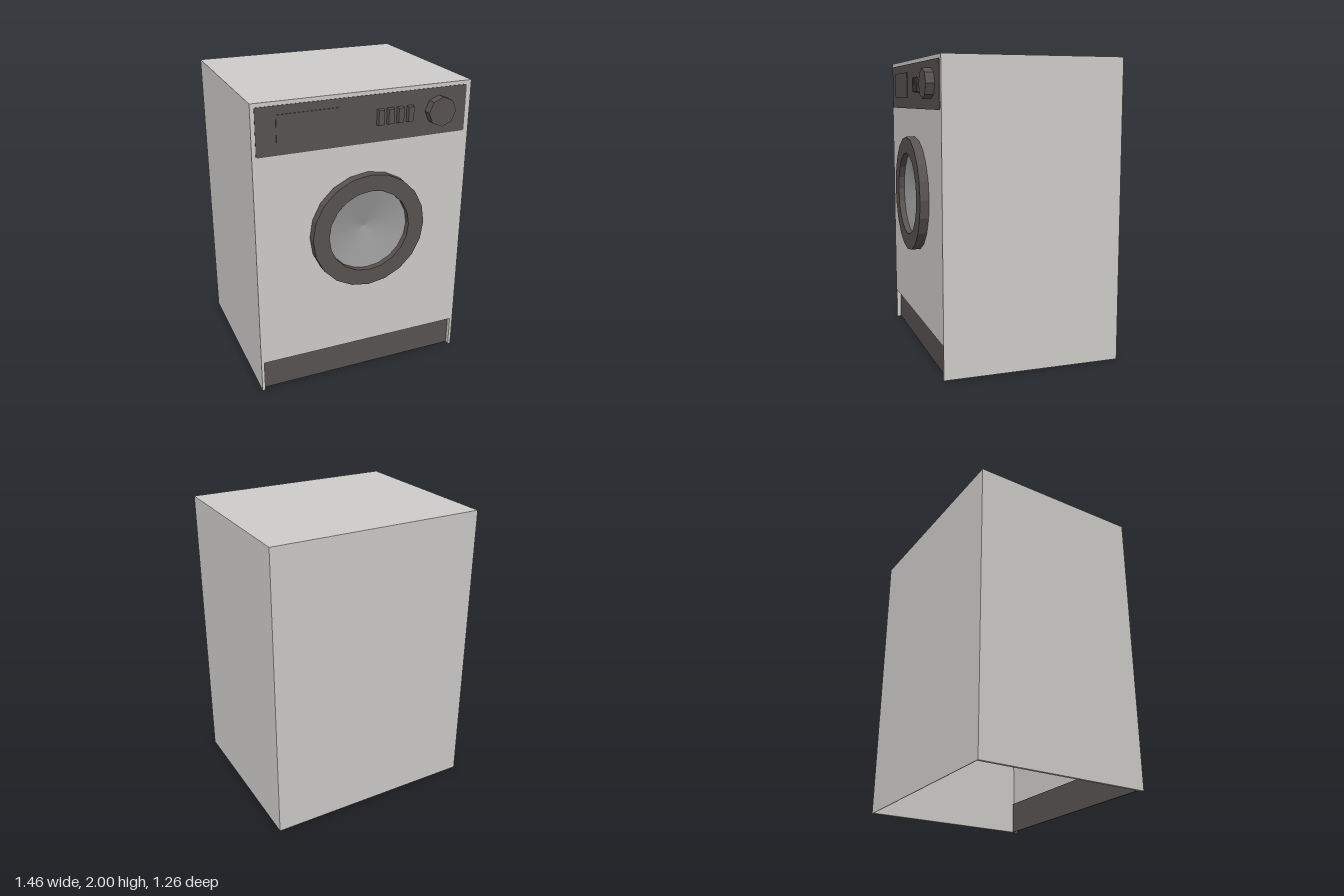
import * as THREE from 'three';

const mat = (name, color, side = THREE.FrontSide) => {
  const m = new THREE.MeshStandardMaterial({ color, side });
  m.name = name;
  return m;
};

export function createModel() {
  const model = new THREE.Group();
  model.name = 'washingMachine';
  const enamel = mat('light grey enamel', 0xcfcdca);
  const dark = mat('dark grey plastic', 0x585351);
  const glass = mat('grey door glass', 0x9c9c9c, THREE.DoubleSide);

  const add = (name, geometry, material) => {
    const mesh = new THREE.Mesh(geometry, material);
    mesh.name = name;
    model.add(mesh);
    return mesh;
  };
  // box given by its lower and upper corners
  const box = (name, a, b, material) => {
    const mesh = add(name, new THREE.BoxGeometry(b[0] - a[0], b[1] - a[1], b[2] - a[2]), material);
    mesh.position.set((a[0] + b[0]) / 2, (a[1] + b[1]) / 2, (a[2] + b[2]) / 2);
    return mesh;
  };

  const W = 0.73, back = -0.63, front = 0.57, wall = 0.02;
  const doorX = 0.015, doorY = 1.09;

  // hollow cabinet, open underneath
  box('leftWall', [W - wall, 0, back], [W, 2, front], enamel);
  box('rightWall', [-W, 0, back], [-W + wall, 2, front], enamel);
  box('topPanel', [-W + wall, 2 - wall, back], [W - wall, 2, front], enamel);
  box('backPanel', [-W + wall, 0, back], [W - wall, 2 - wall, back + 0.005], enamel);

  // front panel with the door opening
  const panel = new THREE.Shape();
  panel.moveTo(-W + wall, 0.22).lineTo(W - wall, 0.22).lineTo(W - wall, 2 - wall).lineTo(-W + wall, 2 - wall);
  const hole = new THREE.Path();
  hole.absarc(doorX, doorY, 0.34, 0, Math.PI * 2, true);
  panel.holes.push(hole);
  const panelGeo = new THREE.ExtrudeGeometry(panel, { depth: 0.03, bevelEnabled: false, curveSegments: 20 });
  add('frontPanel', panelGeo, enamel).position.z = front - 0.03;

  // recessed plinth
  box('plinth', [-W + wall, 0, 0.53], [W - wall, 0.22, 0.54], dark);

  // control panel with clipped corners
  const [x0, x1, y0, y1, c] = [-0.705, 0.697, 1.67, 1.975, 0.008];
  const fascia = new THREE.Shape([
    [x0 + c, y0], [x1 - c, y0], [x1, y0 + c], [x1, y1 - c],
    [x1 - c, y1], [x0 + c, y1], [x0, y1 - c], [x0, y0 + c],
  ].map(([x, y]) => new THREE.Vector2(x, y)));
  add('controlPanel', new THREE.ExtrudeGeometry(fascia, { depth: 0.003, bevelEnabled: false }), dark)
    .position.z = front;

  // detergent drawer
  box('detergentDrawer', [-0.578, 1.745, front], [-0.175, 1.92, 0.578], dark);

  // push buttons, narrowed towards the face
  for (let i = 0; i < 4; i++) {
    const x = 0.093 + i * 0.068;
    const button = box('button' + (i + 1), [x - 0.023, 1.777, front], [x + 0.023, 1.882, 0.597], dark);
    const p = button.geometry.attributes.position;
    for (let k = 0; k < p.count; k++) {
      if (p.getZ(k) > 0) p.setXY(k, p.getX(k) * 0.8, p.getY(k) * 0.9);
    }
    button.geometry.computeVertexNormals();
  }

  // eight-sided programme dial
  const knobGeo = new THREE.CylinderGeometry(0.095, 0.095, 0.06, 8).rotateX(Math.PI / 2).toNonIndexed();
  knobGeo.computeVertexNormals();
  add('programmeDial', knobGeo, dark).position.set(0.5, 1.83, 0.6);

  // faceted door ring, reaching through the front panel
  const ringProfile = [[0.28, 0.63], [0.28, 0.54], [0.34, 0.54], [0.34, 0.56], [0.39, 0.56], [0.39, 0.63], [0.28, 0.63]]
    .map(([r, z]) => new THREE.Vector2(r, z));
  const ringGeo = new THREE.LatheGeometry(ringProfile, 20).rotateX(Math.PI / 2).toNonIndexed();
  ringGeo.computeVertexNormals();
  add('doorRing', ringGeo, dark).position.set(doorX, doorY, 0);

  // shallow glass bowl sloping inwards
  const glassProfile = [[0, 0.53], [0.282, 0.59]].map(([r, z]) => new THREE.Vector2(r, z));
  add('doorGlass', new THREE.LatheGeometry(glassProfile, 20).rotateX(Math.PI / 2), glass)
    .position.set(doorX, doorY, 0);

  return model;
}
